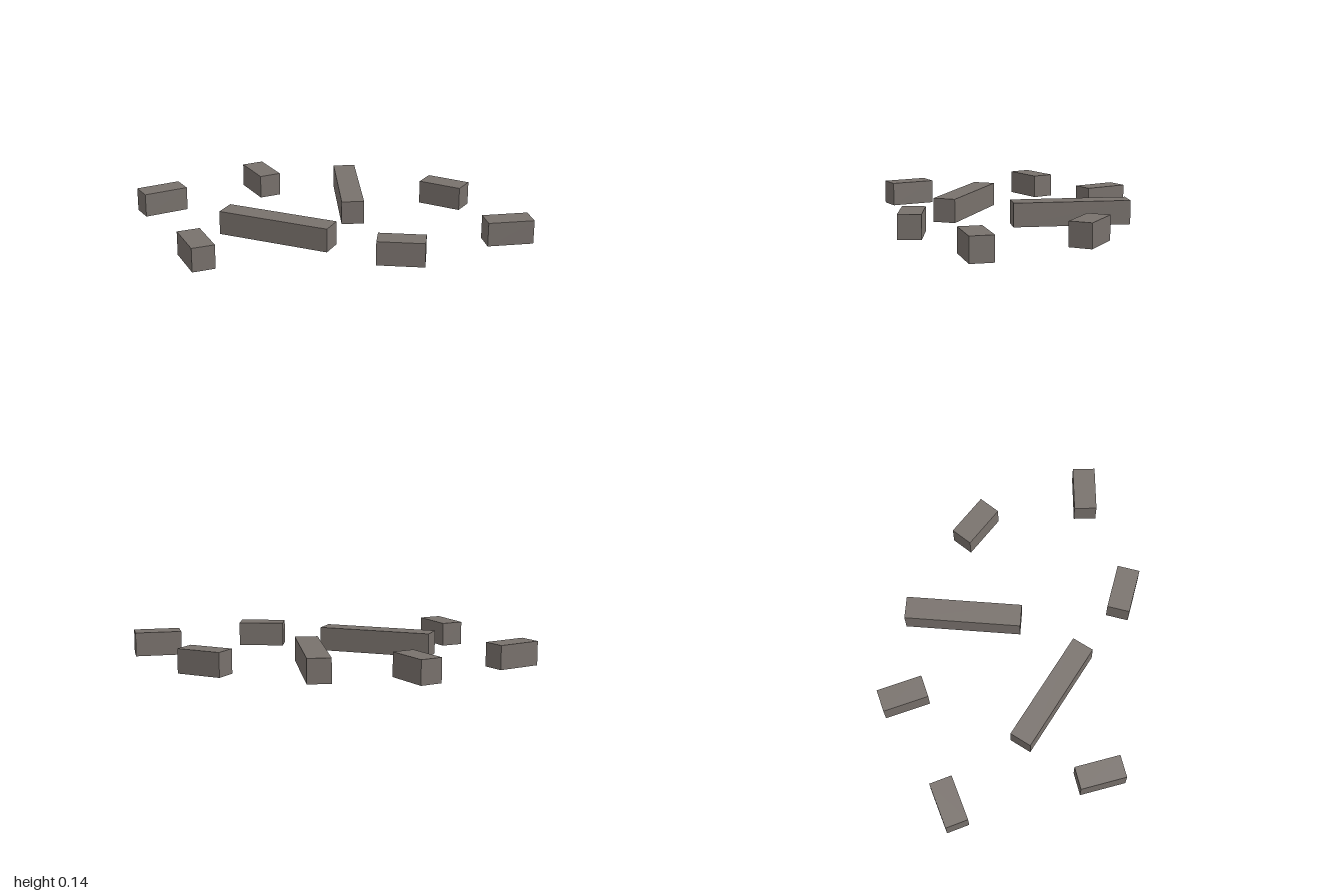
import * as THREE from 'three';

const HEIGHT = 0.145, WIDTH = 0.138, SHORT = 0.279, LONG = 0.707;

// Block standing on y = 0, hollow and open underneath
function openBlock(length) {
  const geometry = new THREE.BoxGeometry(length, HEIGHT, WIDTH);
  const index = Array.from(geometry.index.array);
  index.splice(18, 6); // drop the bottom face
  geometry.setIndex(index);
  geometry.clearGroups();
  geometry.translate(0, HEIGHT / 2, 0);
  return geometry;
}

export function createModel() {
  const group = new THREE.Group();
  group.name = 'scatteredBlocks';
  const stone = new THREE.MeshStandardMaterial({ color: 0x78716c, side: THREE.DoubleSide });
  stone.name = 'stoneGrey';

  // Places blocks given as [x, z, direction x, direction z]
  const place = (name, length, spots) => {
    const geometry = openBlock(length);
    spots.forEach(([x, z, dx, dz], i) => {
      const mesh = new THREE.Mesh(geometry, stone);
      mesh.name = name + (i + 1);
      mesh.position.set(x, 0, z);
      mesh.rotation.y = Math.atan2(-dz, dx);
      group.add(mesh);
    });
  };

  // Two long walls in the middle
  place('longWall', LONG, [
    [-0.328, -0.022, 62.5, 116.7],
    [0.383, -0.238, -73.7, 109.5],
  ]);

  // Ring of short blocks around them
  place('shortBlock', SHORT, [
    [-0.613, -0.876, 52, 7.7],
    [0.1, -0.804, -9.2, 51.2],
    [-0.896, -0.023, -13, 50.5],
    [0.882, 0.121, 19.7, 48.2],
    [0.029, 0.69, 37.2, 36],
    [0.739, 0.831, 46.2, 24.7],
  ]);

  return group;
}
